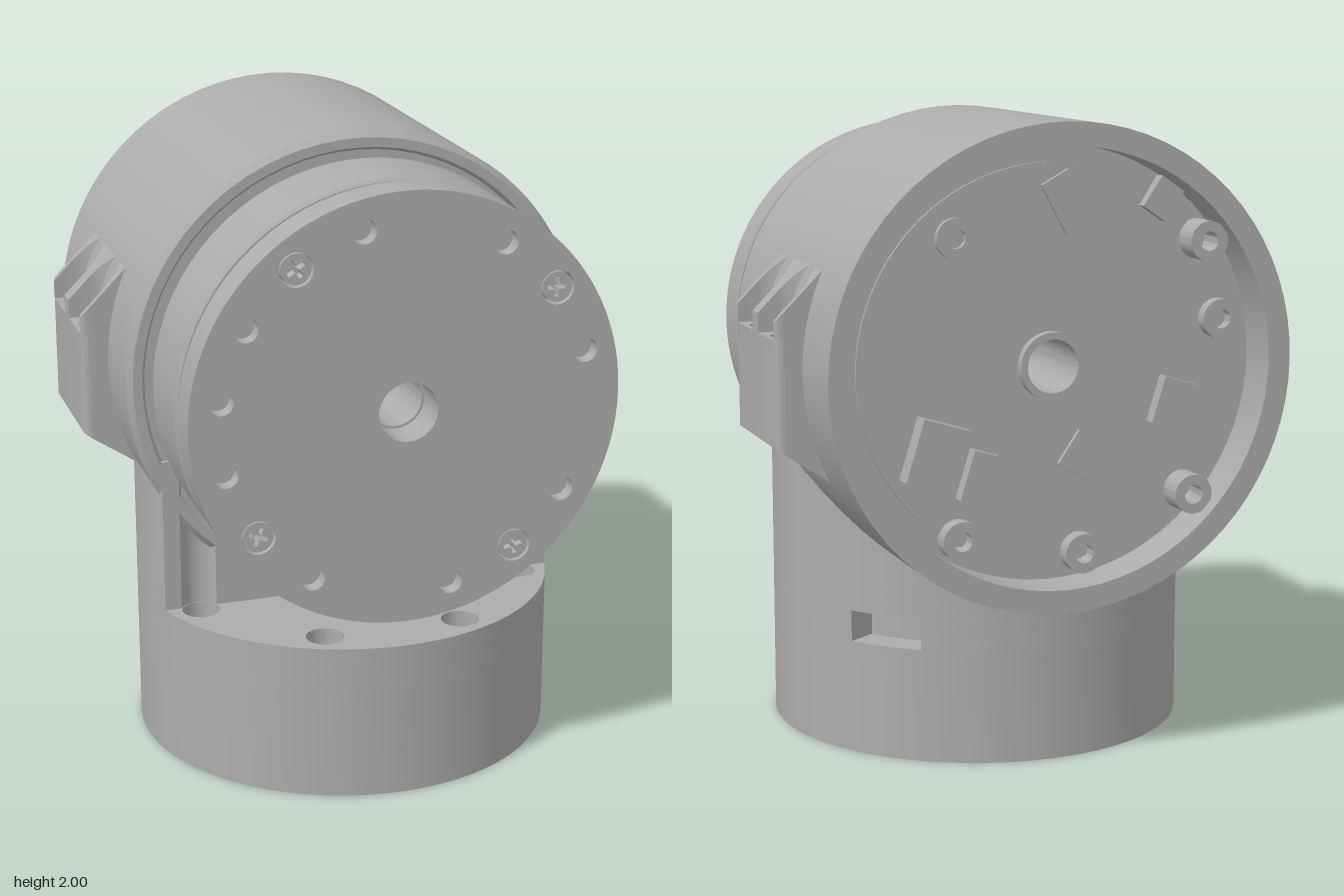
import * as THREE from 'three';
import { toCreasedNormals } from 'three/addons/utils/BufferGeometryUtils.js';

const metal = new THREE.MeshStandardMaterial({ color: 0xacacac });
metal.name = 'grey metal';
const AXIS_Y = 1.252, BASE_R = 0.675, HOUSING_R = 0.748;
const rad = THREE.MathUtils.degToRad;

function add(parent, name, geometry, x = 0, y = 0, z = 0) {
  const mesh = new THREE.Mesh(geometry, metal);
  mesh.name = name;
  mesh.position.set(x, y, z);
  parent.add(mesh);
  return mesh;
}

const smooth = (g) => toCreasedNormals(g, 0.5);

function disc(r, x = 0, y = 0) {
  return new THREE.Shape().absarc(x, y, r, 0, Math.PI * 2, false);
}

// Shape in x/y pushed along z
function extrudeZ(shape, depth) {
  return smooth(new THREE.ExtrudeGeometry(shape, { depth, bevelEnabled: false, curveSegments: 48 }));
}

// Plan shape in x/z raised from y0 to y1; rule may move the vertices
function extrudeY(shape, y0, y1, rule) {
  const g = new THREE.ExtrudeGeometry(shape, { depth: y1 - y0, bevelEnabled: false, curveSegments: 48 });
  g.rotateX(Math.PI / 2).translate(0, y1, 0);
  if (rule) {
    const p = g.attributes.position, v = new THREE.Vector3();
    for (let i = 0; i < p.count; i++) {
      rule(v.fromBufferAttribute(p, i));
      p.setXYZ(i, v.x, v.y, v.z);
    }
    g.computeVertexNormals();
  }
  return smooth(g);
}

// Closed profile of [radius, z] turned about the z axis
function turned(profile) {
  const pts = [...profile, profile[0]].map(([r, z]) => new THREE.Vector2(r, z));
  return smooth(new THREE.LatheGeometry(pts, 72).rotateX(Math.PI / 2));
}

function buildBase(parent) {
  const boltHoles = [-67.5, -22.5, 22.5, 67.5].map((a) =>
    disc(0.06, 0.58 * Math.sin(rad(a)), 0.58 * Math.cos(rad(a))));
  add(parent, 'baseBottom', extrudeY(disc(BASE_R), 0, 0.36));

  // Band with the side slot
  const s = -Math.PI / 4, w = 0.18, turn = Math.PI * 2;
  const slotted = new THREE.Shape();
  slotted.absarc(0, 0, BASE_R, s + w, s - w + turn, false);
  slotted.absarc(0, 0, 0.57, s - w + turn, s + w + turn, false);
  slotted.holes = boltHoles;
  add(parent, 'baseSlotBand', extrudeY(slotted, 0.36, 0.46));

  const top = disc(BASE_R);
  top.holes = boltHoles;
  add(parent, 'baseTop', extrudeY(top, 0.46, 0.5));

  // Column cut flat in front, with two bolt channels
  const cut = 0.195, a = Math.asin(cut / BASE_R);
  const column = new THREE.Shape();
  column.absarc(0, 0, BASE_R, a, Math.PI - a, true);
  for (const side of [-1, 1]) {
    column.absarc(side * 0.536, 0.222, 0.063, Math.PI + 0.443, turn - 0.443, false);
  }
  add(parent, 'columnFoot', extrudeY(column, 0.5, 0.56));
  add(parent, 'column', extrudeY(column, 0.56, 1.0, (v) => { v.z = Math.max(v.z, -0.62); }));
}

// Clamp lug with two vertical bolt holes and open pockets above them
function buildLug() {
  const lug = new THREE.Group();
  const inX = 0.62, outX = 0.83, half = 0.23, holeX = 0.767, holeZ = 0.119, c = 0.03;
  const lower = new THREE.Shape();
  lower.moveTo(inX, -half);
  lower.lineTo(outX - c, -half);
  lower.quadraticCurveTo(outX, -half, outX, -half + c);
  lower.lineTo(outX, half - c);
  lower.quadraticCurveTo(outX, half, outX - c, half);
  lower.lineTo(inX, half);
  lower.holes = [disc(0.047, holeX, -holeZ), disc(0.047, holeX, holeZ)];
  add(lug, 'lugBody', extrudeY(lower, 1.0, 1.35, (v) => {
    if (v.y < 1.1) v.y = 1.02 - (outX - v.x) * 0.67;
  }));

  const r = 0.088;
  const upper = new THREE.Shape();
  upper.moveTo(inX, -half);
  upper.lineTo(outX - c, -half);
  upper.quadraticCurveTo(outX, -half, outX, -half + c / 2);
  for (const z of [-holeZ, holeZ]) {
    upper.lineTo(outX, z - r);
    upper.absarc(holeX, z, r, -Math.PI / 2, -Math.PI * 1.5, true);
    upper.lineTo(outX, z + r);
  }
  upper.quadraticCurveTo(outX, half, outX - c, half);
  upper.lineTo(inX, half);
  add(lug, 'lugPocketWalls', extrudeY(upper, 1.35, 1.42, (v) => {
    if (v.y > 1.4) v.y = 1.41 + (outX - v.x) * 1.0;
  }));
  return lug;
}

function buildFlange(parent) {
  const bore = 0.093;
  add(parent, 'flangeBack', turned([
    [bore, 0.537], [0.668, 0.537], [BASE_R, 0.545], [BASE_R, 0.615], [bore, 0.615]]));
  const face = disc(BASE_R);
  face.holes = [disc(bore)];
  const at = (deg) => [0.58 * Math.cos(rad(deg)), 0.58 * Math.sin(rad(deg))];
  const holeAngles = [171.5];
  for (let i = 0; i < 8; i++) holeAngles.push(14 + i * 45);
  for (const d of holeAngles) face.holes.push(disc(0.038, ...at(d)));

  // Cross-head screws sunk in the face
  const cross = new THREE.Path();
  const n = 0.007, l = 0.03;
  cross.setFromPoints([[n, n], [n, l], [-n, l], [-n, n], [-l, n], [-l, -n], [-n, -n], [-n, -l],
    [n, -l], [n, -n], [l, -n], [l, n]].map(([x, y]) => new THREE.Vector2(x, y)));
  const head = disc(0.047);
  head.holes = [cross];
  const headGeometry = extrudeZ(head, 0.045);
  for (let i = 0; i < 4; i++) {
    const [x, y] = at(36.5 + i * 90);
    face.holes.push(disc(0.053, x, y));
    add(parent, 'screw', headGeometry, x, y, 0.614).rotation.z = i * 0.6;
  }
  add(parent, 'flangeFace', extrudeZ(face, 0.05), 0, 0, 0.614);
}

// Board, bosses and connectors inside the open back
function buildBack(parent) {
  const board = disc(0.62);
  board.holes = [disc(0.085)];
  add(parent, 'circuitBoard', extrudeZ(board, 0.012), 0, 0, -0.66);
  const collar = disc(0.105);
  collar.holes = [disc(0.083)];
  add(parent, 'boreCollar', extrudeZ(collar, 0.04), 0, 0, -0.69);

  const boss = disc(0.062);
  boss.holes = [disc(0.03)];
  const bosses = [[-0.49, 0.37, 0.1], [-0.56, 0.12, 0.05], [-0.45, -0.42, 0.1],
    [-0.1, -0.59, 0.06], [0.3, -0.52, 0.06], [0.31, 0.4, 0.03]];
  for (const [x, y, h] of bosses) add(parent, 'screwBoss', extrudeZ(boss, h), x, y, -0.65 - h);

  const parts = [['connector', 0.38, -0.25, 0.16, 0.2, 0.07, 0.3], ['connector', 0.24, -0.33, 0.09, 0.16, 0.05, 0.3],
    ['connector', -0.41, -0.14, 0.13, 0.15, 0.05, 0.3], ['chip', -0.11, -0.29, 0.12, 0.12, 0.02, 0.6],
    ['chip', -0.05, 0.5, 0.1, 0.17, 0.02, -0.5], ['chip', -0.36, 0.5, 0.09, 0.11, 0.04, 0.6]];
  for (const [name, x, y, w, h, d, turn] of parts) {
    add(parent, name, new THREE.BoxGeometry(w, h, d), x, y, -0.655 - d / 2).rotation.z = turn;
  }
}

export function createModel() {
  const model = new THREE.Group();
  const joint = new THREE.Group();
  joint.name = 'rotaryJoint';
  joint.position.set(0.075, 0, 0.06);
  joint.rotation.y = rad(71.6);
  model.add(joint);
  buildBase(joint);

  for (const side of [0, 1]) {
    const lug = buildLug();
    lug.name = side ? 'frontLug' : 'backLug';
    lug.position.z = -0.305;
    lug.rotation.y = side * Math.PI;
    joint.add(lug);
  }

  const drive = new THREE.Group();
  drive.name = 'drive';
  drive.position.y = AXIS_Y;
  joint.add(drive);
  add(drive, 'housing', turned([
    [0.085, -0.65], [0.675, -0.65], [0.675, -0.8], [HOUSING_R, -0.8], [HOUSING_R, 0.175],
    [0.73, 0.195], [0.7, 0.195], [0.69, 0.18], [0.085, 0.18]]));
  add(drive, 'outputRing', turned([
    [0.085, 0.17], [0.655, 0.17], [0.655, 0.22], [0.667, 0.22], [BASE_R, 0.23], [BASE_R, 0.502],
    [0.667, 0.51], [0.65, 0.51], [0.65, 0.54], [0.085, 0.54]]));
  buildFlange(drive);
  buildBack(drive);
  return model;
}
